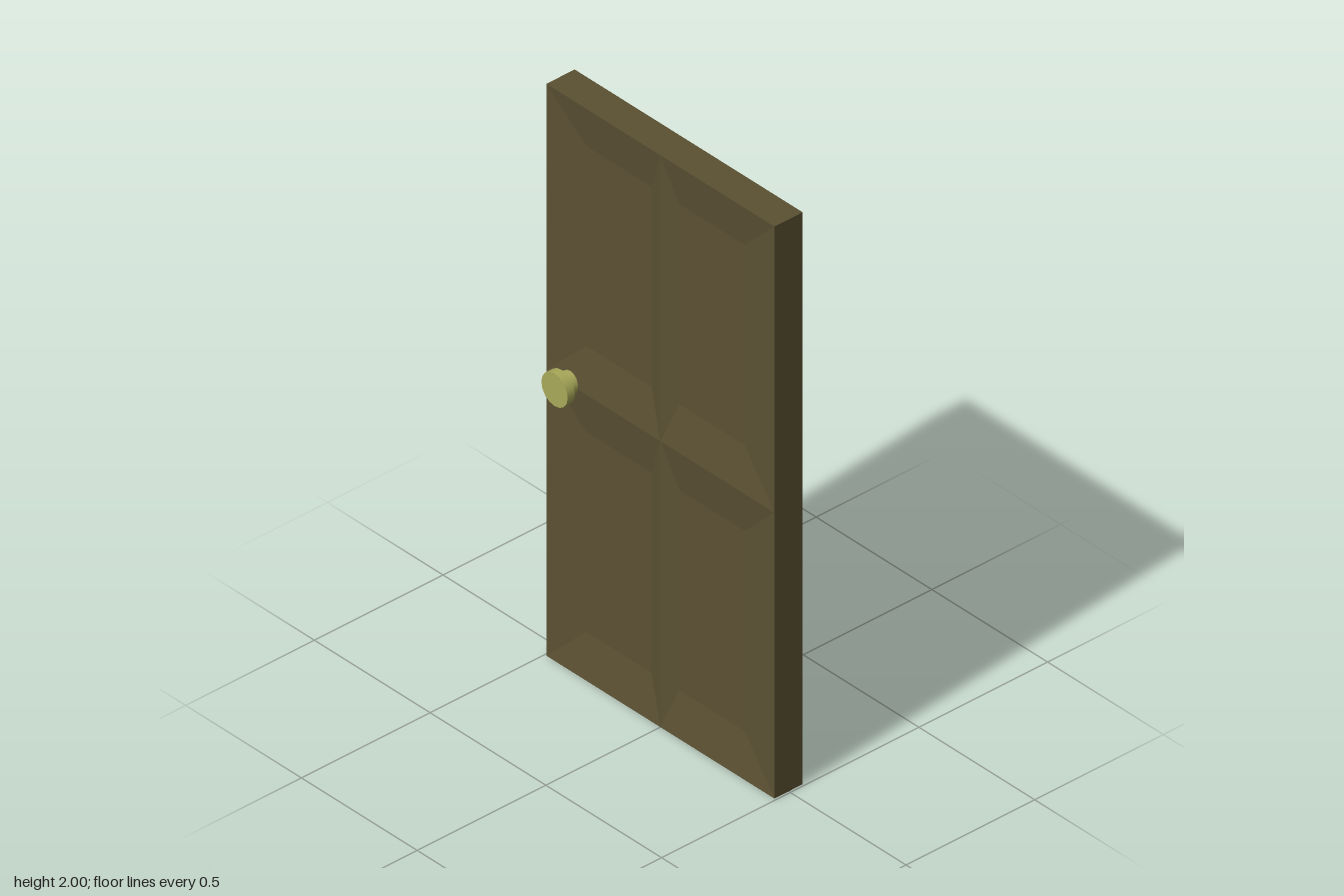
import * as THREE from 'three';

const W = 0.4925, H = 2, T = 0.055, DEPTH = 0.02;

// Sunken panel: four sloping borders around a flat field.
function panelGeometry(x0, x1, y0, y1, left, right, border) {
  const outer = [[x0, y0, T], [x1, y0, T], [x1, y1, T], [x0, y1, T]];
  const z = T - DEPTH;
  const inner = [
    [x0 + left, y0 + border, z], [x1 - right, y0 + border, z],
    [x1 - right, y1 - border, z], [x0 + left, y1 - border, z],
  ];
  const pos = [];
  const quad = (a, b, c, d) => pos.push(...a, ...b, ...c, ...a, ...c, ...d);
  quad(...inner);
  for (let i = 0; i < 4; i++) {
    const j = (i + 1) % 4;
    quad(outer[i], outer[j], inner[j], inner[i]);
  }
  const g = new THREE.BufferGeometry();
  g.setAttribute('position', new THREE.Float32BufferAttribute(pos, 3));
  g.computeVertexNormals();
  return g;
}

export function createModel() {
  const wood = new THREE.MeshStandardMaterial({ color: 0x5b5133 });
  wood.name = 'dark wood';
  const brass = new THREE.MeshStandardMaterial({ color: 0xa9a95a });
  brass.name = 'brass';

  const model = new THREE.Group();
  model.name = 'door';
  const add = (parent, geometry, material, name) => {
    const mesh = new THREE.Mesh(geometry, material);
    mesh.name = name;
    parent.add(mesh);
    return mesh;
  };

  // Four edges of the slab
  for (const s of [-1, 1]) {
    const side = add(model, new THREE.PlaneGeometry(2 * T, H), wood, s > 0 ? 'leftEdge' : 'rightEdge');
    side.rotation.y = s * Math.PI / 2;
    side.position.set(s * W, H / 2, 0);
    const end = add(model, new THREE.PlaneGeometry(2 * W, 2 * T), wood, s > 0 ? 'topEdge' : 'bottomEdge');
    end.rotation.x = -s * Math.PI / 2;
    end.position.y = s > 0 ? H : 0;
  }

  // Each face: four sunken panels and a knob
  for (const s of [1, -1]) {
    const face = new THREE.Group();
    face.name = s > 0 ? 'frontFace' : 'backFace';
    face.rotation.y = s > 0 ? 0 : Math.PI;
    model.add(face);
    for (const y of [0, 1]) {
      add(face, panelGeometry(-W, 0, y, y + 1, 0.15, 0.06, 0.15), wood, 'panel');
      add(face, panelGeometry(0, W, y, y + 1, 0.06, 0.15, 0.15), wood, 'panel');
    }

    const knob = new THREE.Group();
    knob.name = 'knob';
    knob.position.set(-0.395 * s, 1.005, 0);
    knob.rotation.x = Math.PI / 2;
    face.add(knob);
    add(knob, new THREE.CylinderGeometry(0.038, 0.038, 0.06, 16), brass, 'knobStem').position.y = 0.06;
    add(knob, new THREE.CylinderGeometry(0.057, 0.057, 0.028, 16), brass, 'knobHead').position.y = 0.097;
  }
  return model;
}
